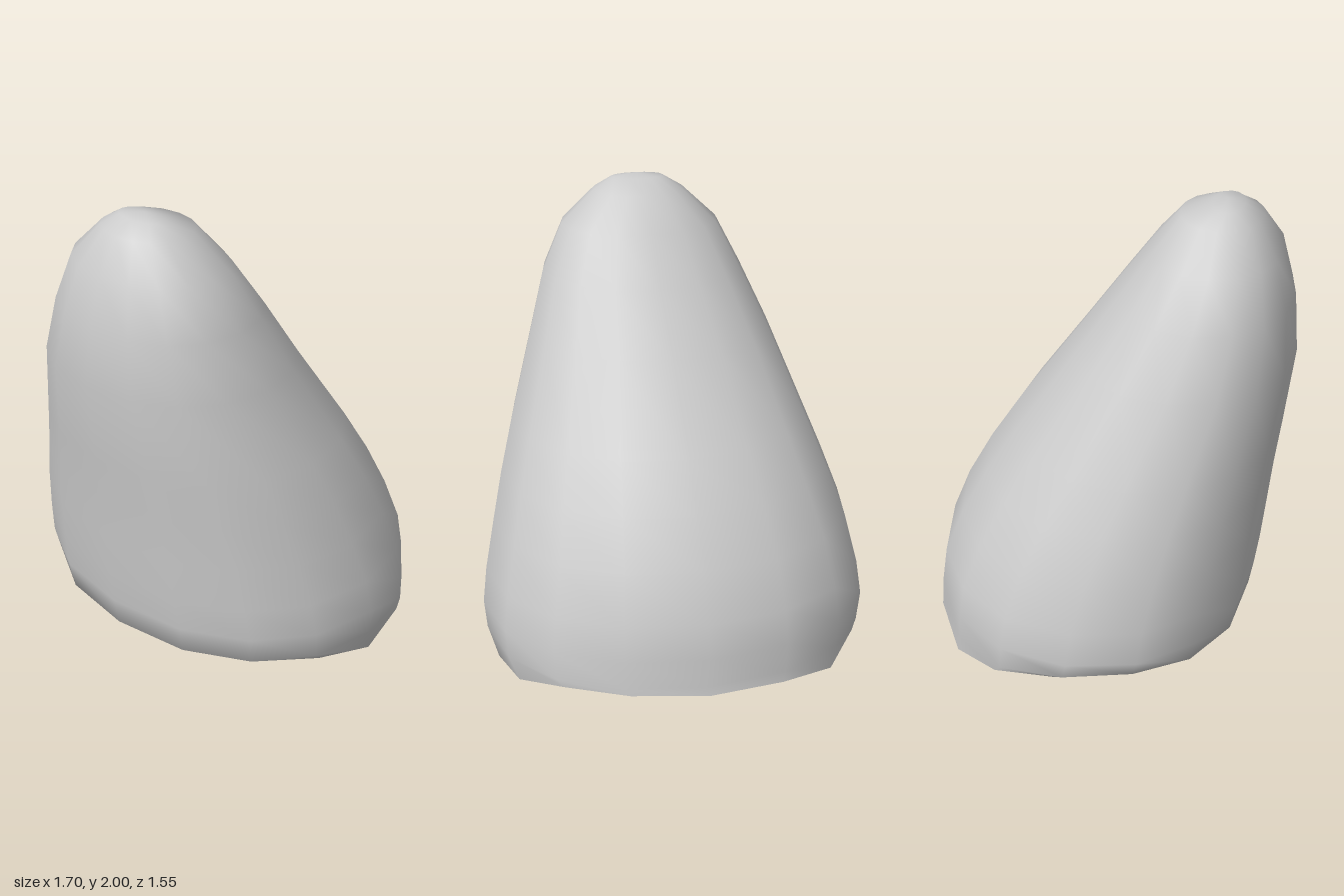
import * as THREE from 'three';

// Cross-sections from the tip down: [y, xMin, xMax, zFront, zBack]
const RINGS = [
  [1.985, -0.07, 0.16, 0.53, 0.40],
  [1.94, -0.15, 0.24, 0.61, 0.27],
  [1.8, -0.30, 0.39, 0.70, 0.155],
  [1.6, -0.40, 0.485, 0.755, 0.01],
  [1.35, -0.51, 0.56, 0.775, -0.17],
  [1.0, -0.64, 0.675, 0.735, -0.42],
  [0.8, -0.715, 0.735, 0.71, -0.55],
  [0.6, -0.785, 0.785, 0.69, -0.66],
  [0.4, -0.83, 0.83, 0.67, -0.74],
  [0.25, -0.85, 0.85, 0.65, -0.76],
  [0.13, -0.83, 0.84, 0.63, -0.77],
  [0, -0.80, 0.80, 0.54, -0.775],
];

// Height of the wavy rim, from the front round by the left side
const RIM = [0.08, 0.085, 0.1, 0.06, 0, 0.035, 0.1, 0.105, 0.09, 0.085, 0.04, 0.09, 0.14, 0.15, 0.12, 0.1];
const SEGMENTS = RIM.length;
const POWER = 2 / 2.15; // slightly squarer than an ellipse

const rounded = (v) => Math.sign(v) * Math.pow(Math.abs(v), POWER);

function shellGeometry() {
  const positions = [0.05, 2, 0.46];
  const indices = [];
  RINGS.forEach(([y, x0, x1, zf, zb], r) => {
    for (let s = 0; s < SEGMENTS; s++) {
      const a = (s / SEGMENTS) * Math.PI * 2;
      const x = (x0 + x1) / 2 + ((x1 - x0) / 2) * rounded(Math.sin(a));
      const z = (zf + zb) / 2 + ((zf - zb) / 2) * rounded(Math.cos(a));
      const isRim = r === RINGS.length - 1;
      positions.push(x, isRim ? RIM[s] : Math.max(y, RIM[s] + 0.03), z);
    }
  });
  // Fan over the tip, then bands between neighbouring rings
  for (let s = 0; s < SEGMENTS; s++) {
    const n = (s + 1) % SEGMENTS;
    indices.push(0, 1 + s, 1 + n);
    for (let r = 0; r < RINGS.length - 1; r++) {
      const top = 1 + r * SEGMENTS;
      const low = top + SEGMENTS;
      indices.push(top + s, low + s, low + n, top + s, low + n, top + n);
    }
  }
  const geometry = new THREE.BufferGeometry();
  geometry.setAttribute('position', new THREE.Float32BufferAttribute(positions, 3));
  geometry.setIndex(indices);
  geometry.computeVertexNormals();
  return geometry;
}

export function createModel() {
  const model = new THREE.Group();
  model.name = 'leaningDome';

  // Hollow shell, open underneath
  const material = new THREE.MeshStandardMaterial({ color: 0xcccccc, side: THREE.DoubleSide });
  const shell = new THREE.Mesh(shellGeometry(), material);
  shell.name = 'shell';
  model.add(shell);
  return model;
}
